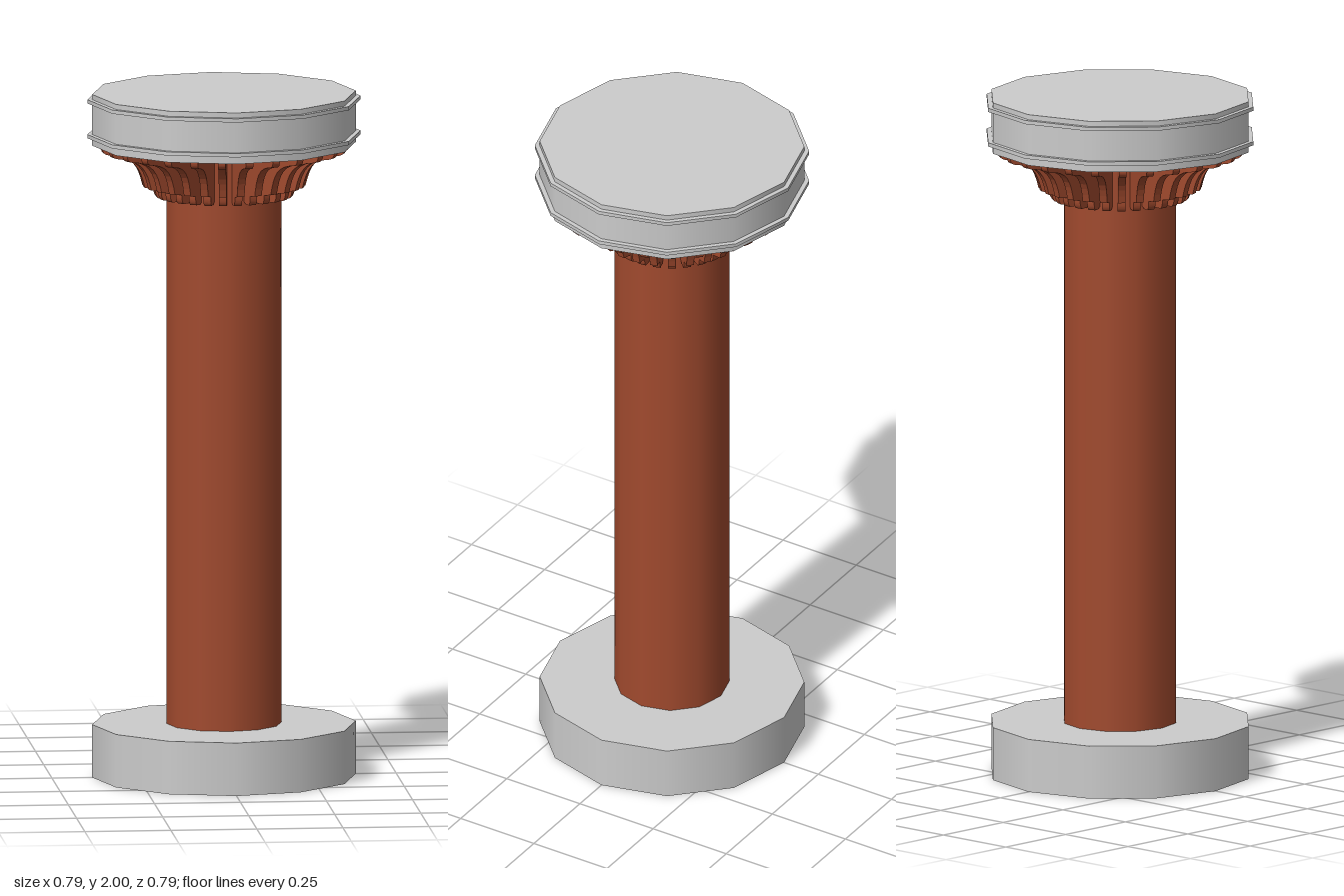
import * as THREE from 'three';

const SIDES = 12;
const RIBS = 28;

export function createModel() {
  const model = new THREE.Group();
  const grey = new THREE.MeshStandardMaterial({ color: 0xcccccc });
  const rust = new THREE.MeshStandardMaterial({ color: 0xa14a2e });

  // upright drum between two heights
  function drum(name, radius, bottom, top, material) {
    const geometry = new THREE.CylinderGeometry(radius, radius, top - bottom, SIDES);
    geometry.translate(0, (bottom + top) / 2, 0);
    const mesh = new THREE.Mesh(geometry, material);
    mesh.name = name;
    model.add(mesh);
  }

  drum('base', 0.383, 0, 0.155, grey);
  drum('shaft', 0.167, 0.155, 1.85, rust);
  drum('capital', 0.383, 1.85, 2, grey);
  drum('lowerBand', 0.397, 1.872, 1.883, grey);
  drum('upperBand', 0.397, 1.974, 1.985, grey);

  // S-curved bracket profile: x is the distance from the axis
  const profile = new THREE.Shape();
  profile.moveTo(0.15, 1.85);
  profile.lineTo(0.15, 1.71);
  profile.lineTo(0.175, 1.698);
  profile.lineTo(0.196, 1.698);
  profile.quadraticCurveTo(0.205, 1.705, 0.205, 1.725);
  profile.lineTo(0.236, 1.73);
  profile.bezierCurveTo(0.25, 1.79, 0.265, 1.82, 0.345, 1.829);
  profile.quadraticCurveTo(0.362, 1.832, 0.362, 1.85);
  profile.closePath();

  const thickness = 0.022;
  const ribGeometry = new THREE.ExtrudeGeometry(profile, {
    depth: thickness, bevelEnabled: false, curveSegments: 8,
  });
  ribGeometry.translate(0, 0, -thickness / 2);

  // ring of brackets under the capital
  const ribs = new THREE.Group();
  ribs.name = 'brackets';
  for (let i = 0; i < RIBS; i++) {
    const rib = new THREE.Mesh(ribGeometry, rust);
    rib.name = 'bracket';
    rib.rotation.y = ((i + 0.5) / RIBS) * Math.PI * 2;
    ribs.add(rib);
  }
  model.add(ribs);

  return model;
}
